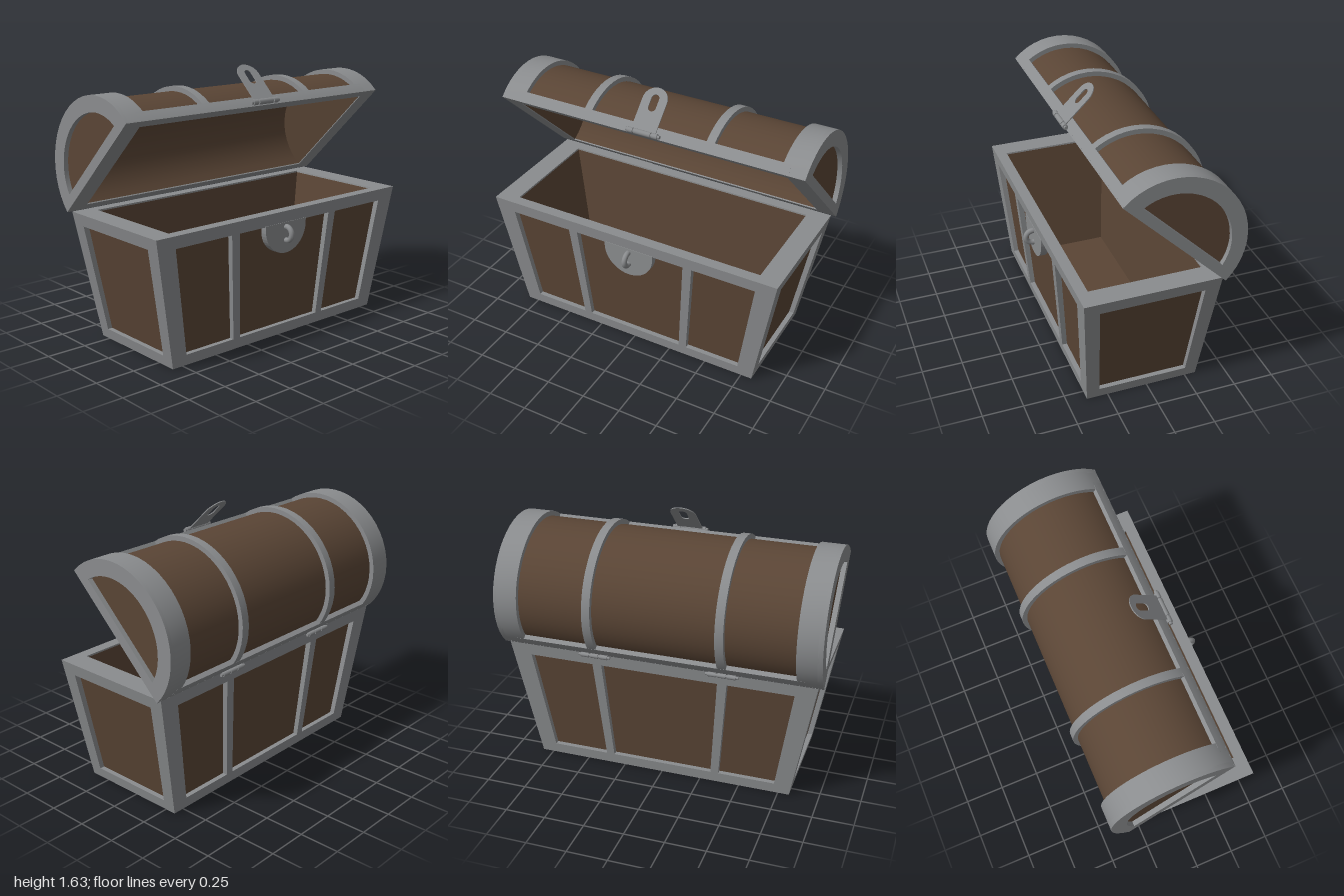
import * as THREE from 'three';
import { toCreasedNormals } from 'three/addons/utils/BufferGeometryUtils.js';

const metal = new THREE.MeshStandardMaterial({ color: 0x8a8c8e });
metal.name = 'greyMetal';
const wood = new THREE.MeshStandardMaterial({ color: 0x5a4535 });
wood.name = 'brownWood';

function add(parent, name, geometry, material) {
  const mesh = new THREE.Mesh(geometry, material);
  mesh.name = name;
  parent.add(mesh);
  return mesh;
}

const extrude = (shape, depth, curveSegments = 12) =>
  new THREE.ExtrudeGeometry(shape, { depth, bevelEnabled: false, curveSegments });

const rect = (x0, y0, x1, y1, Kind = THREE.Shape) =>
  new Kind([[x0, y0], [x1, y0], [x1, y1], [x0, y1]].map(p => new THREE.Vector2(...p)));

function moveVertices(geometry, rule) {
  const pos = geometry.attributes.position;
  const v = new THREE.Vector3();
  for (let i = 0; i < pos.count; i++) {
    v.fromBufferAttribute(pos, i);
    rule(v);
    pos.setXYZ(i, v.x, v.y, v.z);
  }
  geometry.computeVertexNormals();
  return geometry;
}

// The box widens evenly towards its top
const taper = geometry => moveVertices(geometry, v => {
  const k = 1 + 0.18 * v.y / 0.8;
  v.x *= k;
  v.z *= k;
});

// Wall frame with panel openings, turned to face one side
function wallFrame(half, openings, out, angle) {
  const shape = rect(-half, 0, half, 0.8);
  for (const [a, b] of openings) shape.holes.push(rect(a, 0.065, b, 0.725, THREE.Path));
  return taper(extrude(shape, 0.03).translate(0, 0, out - 0.03).rotateY(angle));
}

// Rectangular ring lying flat between two heights
function flatRing(x, z, holeX, holeZ, y0, y1) {
  const shape = rect(-x, -z, x, z);
  shape.holes.push(rect(-holeX, -holeZ, holeX, holeZ, THREE.Path));
  return extrude(shape, y1 - y0).rotateX(-Math.PI / 2).translate(0, y0, 0);
}

// Points along the lid's arch, x across the lid and y up
function arch(a, h, from = 0, to = Math.PI, steps = 24) {
  return Array.from({ length: steps + 1 }, (_, i) => {
    const t = from + (to - from) * i / steps;
    return new THREE.Vector2(a * Math.cos(t), h * Math.sin(t));
  });
}

// Extrudes a lid cross-section between x0 and x1, with smooth curves
function alongX(shape, x0, x1) {
  const g = extrude(shape, x1 - x0).rotateY(-Math.PI / 2).translate(x1, 0, 0);
  return toCreasedNormals(g, 0.5);
}

function archBand(outer, inner, x0, x1, from = 0, to = Math.PI, steps = 24) {
  const points = [...arch(...outer, from, to, steps), ...arch(...inner, from, to, steps).reverse()];
  return alongX(new THREE.Shape(points), x0, x1);
}

function makeBase() {
  const base = new THREE.Group();
  base.name = 'base';
  base.position.z = 0.03;
  const long = [[-0.715, -0.365], [-0.315, 0.315], [0.365, 0.715]];
  const short = [[-0.272, 0.272]];
  add(base, 'frontFrame', wallFrame(0.82, long, 0.35, 0), metal);
  add(base, 'backFrame', wallFrame(0.82, long, 0.35, Math.PI), metal);
  add(base, 'leftFrame', wallFrame(0.35, short, 0.82, Math.PI / 2), metal);
  add(base, 'rightFrame', wallFrame(0.35, short, 0.82, -Math.PI / 2), metal);
  add(base, 'woodenWalls', taper(flatRing(0.79, 0.32, 0.708, 0.293, 0.03, 0.793)), wood);
  add(base, 'floor', new THREE.BoxGeometry(1.45, 0.015, 0.6).translate(0, 0.035, 0), wood);
  add(base, 'bottomPlate', taper(new THREE.BoxGeometry(1.64, 0.03, 0.7).translate(0, 0.015, 0)), metal);
  add(base, 'topRim', taper(flatRing(0.82, 0.35, 0.706, 0.292, 0.79, 0.8)), metal);
  return base;
}

function makeLid() {
  const lid = new THREE.Group();
  lid.name = 'lid';
  lid.position.set(0, 1.105, -0.0725);
  lid.rotation.x = -0.773;
  const outer = [0.436, 0.415];
  const under = [0.395, 0.374];

  add(lid, 'vault', archBand([0.406, 0.385], [0.385, 0.362], -0.9, 0.9, 0.015, Math.PI - 0.015), wood);
  add(lid, 'openingRim', flatRing(1, 0.436, 0.885, 0.384, 0, 0.008), metal);
  add(lid, 'frontRail', archBand(outer, under, -0.9, 0.9, 0, 0.17, 3), metal);
  add(lid, 'backRail', archBand(outer, under, -0.9, 0.9, Math.PI - 0.17, Math.PI, 3), metal);

  for (const side of [-1, 1]) {
    add(lid, 'strap', archBand(outer, under, side * 0.405 - 0.026, side * 0.405 + 0.026), metal);

    // End cap: broad band, pierced frame, recessed panel with a sloping inner face
    const [b0, b1] = side > 0 ? [0.85, 0.98] : [-0.98, -0.85];
    add(lid, 'endBand', archBand(outer, under, b0, b1), metal);
    const frame = new THREE.Shape(arch(...outer));
    const start = Math.asin(0.06 / 0.317);
    frame.holes.push(new THREE.Path(arch(0.342, 0.317, start, Math.PI - start)));
    const [f0, f1] = side > 0 ? [0.97, 1] : [-1, -0.97];
    add(lid, 'endFrame', alongX(frame, f0, f1), metal);
    const [p0, p1] = side > 0 ? [0.885, 0.97] : [-0.97, -0.885];
    const panel = alongX(new THREE.Shape(arch(0.398, 0.377, 0.015, Math.PI - 0.015)), p0, p1);
    moveVertices(panel, v => {
      if (Math.abs(v.x) < 0.9) v.x -= side * 0.2 * v.y;
    });
    add(lid, 'endPanel', panel, wood);
  }
  return lid;
}

function makeLock() {
  const lock = new THREE.Group();
  lock.name = 'lock';
  const plate = new THREE.Shape();
  plate.moveTo(0.165, 0.73);
  plate.lineTo(-0.165, 0.73);
  plate.lineTo(-0.165, 0.705);
  plate.absarc(0, 0.705, 0.165, Math.PI, Math.PI * 2, false);
  add(lock, 'lockPlate', extrude(plate, 0.045).translate(0, 0, 0.395), metal);
  const ring = new THREE.TorusGeometry(0.042, 0.017, 10, 28).rotateY(Math.PI / 2);
  add(lock, 'lockRing', ring, metal).position.set(0, 0.66, 0.447);
  return lock;
}

function makeHasp() {
  const hasp = new THREE.Group();
  hasp.name = 'hasp';
  hasp.position.set(0, 1.435, 0.25);
  hasp.rotation.x = -0.8;
  const plate = new THREE.Shape();
  plate.moveTo(-0.08, 0);
  plate.lineTo(0.08, 0);
  plate.lineTo(0.08, 0.205);
  plate.absellipse(0, 0.205, 0.08, 0.078, 0, Math.PI, false);
  plate.lineTo(-0.08, 0);
  const slot = new THREE.Path();
  slot.absarc(0, 0.215, 0.025, 0, Math.PI, false);
  slot.absarc(0, 0.16, 0.025, Math.PI, Math.PI * 2, false);
  plate.holes.push(slot);
  add(hasp, 'haspPlate', extrude(plate, 0.006).translate(0, 0, -0.003), metal);
  add(hasp, 'haspPin', new THREE.CylinderGeometry(0.011, 0.011, 0.224, 12).rotateZ(Math.PI / 2), metal);
  for (const x of [-0.08, 0, 0.08]) {
    const knuckle = new THREE.CylinderGeometry(0.017, 0.017, x ? 0.035 : 0.11, 12);
    add(hasp, 'haspKnuckle', knuckle.rotateZ(Math.PI / 2), metal).position.x = x;
  }
  return hasp;
}

function makeHinge(x) {
  const hinge = new THREE.Group();
  hinge.name = 'hinge';
  hinge.position.set(x, 0.795, -0.397);
  add(hinge, 'hingePin', new THREE.CylinderGeometry(0.009, 0.009, 0.2, 12).rotateZ(Math.PI / 2), metal);
  for (const dx of [-0.06, 0, 0.06]) {
    const knuckle = new THREE.CylinderGeometry(0.014, 0.014, 0.05, 12).rotateZ(Math.PI / 2);
    add(hinge, 'hingeKnuckle', knuckle, metal).position.x = dx;
  }
  return hinge;
}

export function createModel() {
  const chest = new THREE.Group();
  chest.name = 'chest';
  chest.add(makeBase(), makeLid(), makeLock(), makeHasp(), makeHinge(-0.4), makeHinge(0.4));
  return chest;
}
